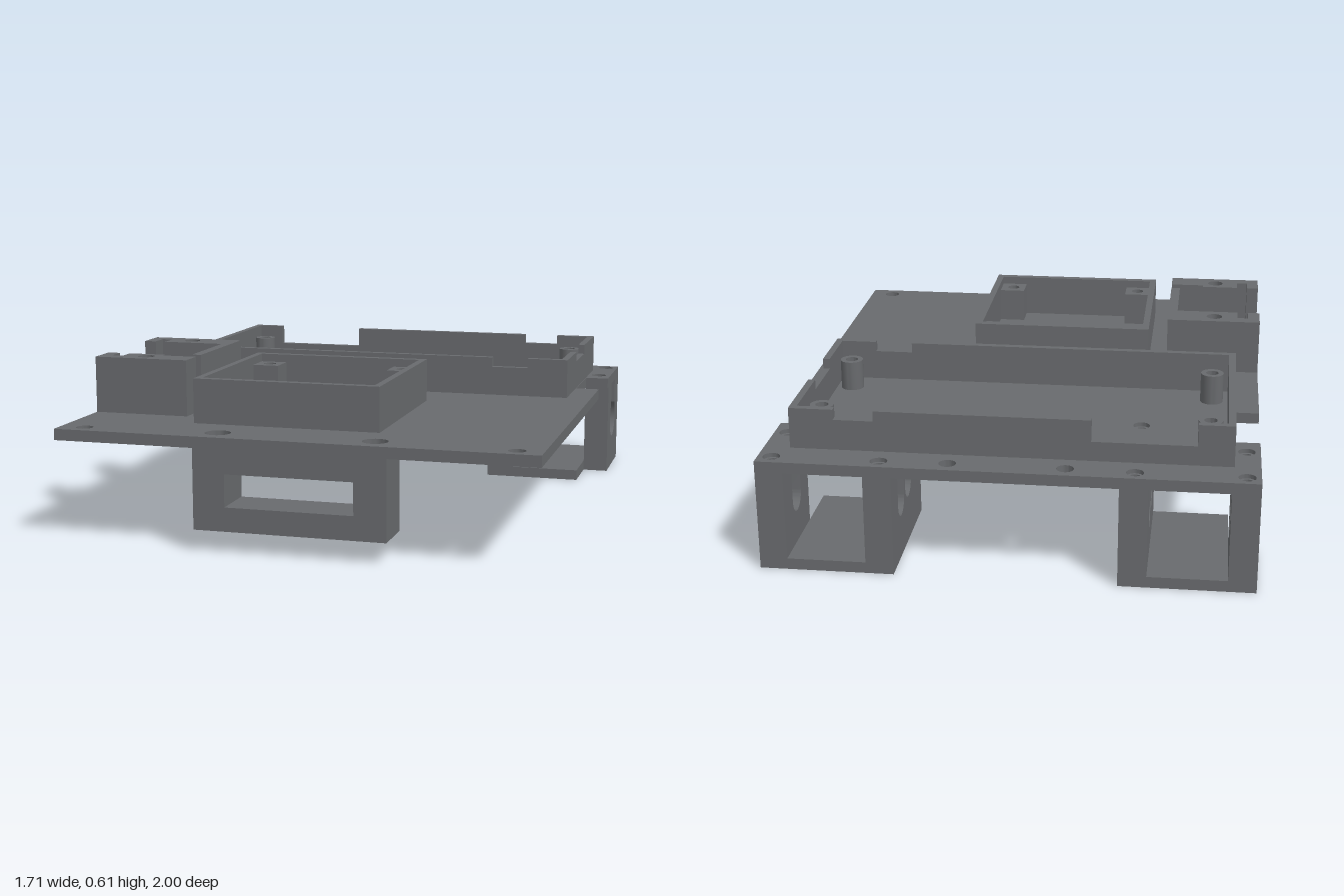
import * as THREE from 'three';
import { toCreasedNormals } from 'three/addons/utils/BufferGeometryUtils.js';

const material = new THREE.MeshStandardMaterial({ color: 0x686a6d });
const PLATE_LOW = 0.36, PLATE_TOP = 0.4;

export function createModel() {
  const root = new THREE.Group();
  root.name = 'mountingPlateAssembly';

  const add = (name, geometry) => {
    const mesh = new THREE.Mesh(geometry, material);
    mesh.name = name;
    root.add(mesh);
  };
  const polygon = (pts) => new THREE.Shape(pts.map(([a, b]) => new THREE.Vector2(a, b)));
  const rect = (x0, x1, z0, z1) => polygon([[x0, z0], [x1, z0], [x1, z1], [x0, z1]]);
  const extrude = (shape, depth) =>
    new THREE.ExtrudeGeometry(shape, { depth, bevelEnabled: false, curveSegments: 14 });
  const box = (name, x0, x1, y0, y1, z0, z1) =>
    add(name, new THREE.BoxGeometry(x1 - x0, y1 - y0, z1 - z0)
      .translate((x0 + x1) / 2, (y0 + y1) / 2, (z0 + z1) / 2));

  // Outline in x and z, with round holes [x, z, r], raised from y0 to y1
  const slab = (name, shape, holes, y0, y1) => {
    for (const [x, z, r] of holes) {
      shape.holes.push(new THREE.Path().absarc(x, z, r, 0, Math.PI * 2, true));
    }
    const g = extrude(shape, y1 - y0).rotateX(Math.PI / 2).translate(0, y1, 0);
    add(name, toCreasedNormals(g, 0.6));
  };
  // Profile in z and y, extruded from x0 to x1
  const sideWall = (name, shape, x0, x1) =>
    add(name, toCreasedNormals(extrude(shape, x1 - x0).rotateY(-Math.PI / 2).translate(x1, 0, 0), 0.6));
  // Profile in x and y, extruded from z0 to z1
  const crossWall = (name, shape, z0, z1) =>
    add(name, extrude(shape, z1 - z0).translate(0, 0, z0));
  // Ring with a bore, standing on y0
  const ring = (name, x, z, outer, inner, y0, y1) => {
    const shape = new THREE.Shape().absarc(x, z, outer, 0, Math.PI * 2, false);
    slab(name, shape, [[x, z, inner]], y0, y1);
  };
  // Wall profile with square notches [from, to, floor] in its top edge
  const notched = (a, b, y0, y1, notches = []) => {
    const pts = [[a, y0], [b, y0], [b, y1]];
    for (const [n0, n1, floor] of notches) pts.push([n1, y1], [n1, floor], [n0, floor], [n0, y1]);
    pts.push([a, y1]);
    return polygon(pts);
  };
  // Wall profile with U slots open at the top, optionally widened to a round seat R
  const slotted = (a, b, y1, slots) => {
    const s = new THREE.Shape().moveTo(a, 0).lineTo(b, 0).lineTo(b, y1);
    for (const [z, y, r, R] of slots) {
      const t = Math.acos(r / R);
      s.lineTo(z + r, y1);
      s.lineTo(z + r, y + R * Math.sin(t));
      s.absarc(z, y, R, t, -Math.PI - t, true);
      s.lineTo(z - r, y1);
    }
    s.lineTo(a, y1);
    return s;
  };

  // Base plate with side notches and screw holes
  const screws = [];
  for (const s of [-1, 1]) {
    screws.push([s * 0.807, -0.95], [s * 0.807, -0.73], [s * 0.435, -0.95], [s * 0.435, -0.525]);
  }
  const plateHoles = screws.map(([x, z]) => [x, z, 0.03]);
  for (const s of [-1, 1]) {
    plateHoles.push([s * 0.2, -0.943, 0.03], [s * 0.765, 0.943, 0.03], [s * 0.28, 0.915, 0.045]);
  }
  const half = [[0.855, -1], [0.855, -0.645], [0.765, -0.645], [0.765, -0.36], [0.855, -0.36], [0.855, 1]];
  const outline = [...half, ...half.map(([x, z]) => [-x, z]).reverse()];
  slab('basePlate', polygon(outline), plateHoles, PLATE_LOW, PLATE_TOP);
  screws.forEach(([x, z]) => ring('screwSeat', x, z, 0.03, 0.02, PLATE_LOW, 0.385));

  // Wide rear tray with notched walls
  const w = 0.025, trayTop = 0.547;
  crossWall('rearTrayBackWall', notched(-0.765, 0.763, PLATE_TOP, trayTop,
    [[0.468, 0.608, 0.51], [-0.64, -0.28, 0.47]]), -0.867, -0.867 + w);
  crossWall('rearTrayFrontWall', notched(-0.765, 0.763, PLATE_TOP, trayTop,
    [[0.468, 0.608, 0.51]]), -0.12 - w, -0.12);
  sideWall('rearTrayRightWall', notched(-0.842, -0.145, PLATE_TOP, trayTop,
    [[-0.58, -0.36, 0.51]]), 0.738, 0.763);
  sideWall('rearTrayLeftWall', notched(-0.842, -0.145, PLATE_TOP, trayTop), -0.765, -0.74);
  for (const x of [-0.68, 0.68]) {
    for (const z of [-0.725, -0.247]) ring('trayStandoff', x, z, 0.042, 0.023, PLATE_TOP, 0.51);
  }

  // Square tray with drilled corner posts
  const frame = rect(-0.427, 0.255, 0.083, 0.767);
  frame.holes.push(rect(-0.402, 0.23, 0.11, 0.738));
  slab('squareTrayWalls', frame, [], PLATE_TOP, 0.56);
  for (const x of [-0.352, 0.18]) {
    for (const z of [0.16, 0.688]) {
      slab('cornerPost', rect(x - 0.05, x + 0.05, z - 0.05, z + 0.05), [[x, z, 0.024]], PLATE_TOP, 0.53);
    }
  }

  // Side holder: U-shaped block with keyed slots and a cable notch
  const holeBack = [-0.68, 0.14, 0.03], holeFront = [-0.68, 0.59, 0.03];
  const backInner = [[-0.535, 0.2], [-0.77, 0.2], [-0.77, 0.13], [-0.81, 0.13], [-0.81, 0.2],
    [-0.855, 0.2], [-0.855, 0.08], [-0.5, 0.08]];
  const frontInner = [[-0.855, 0.65], [-0.855, 0.535], [-0.81, 0.535], [-0.81, 0.6],
    [-0.77, 0.6], [-0.77, 0.535]];
  slab('sideHolderBase', polygon([...backInner, [-0.5, 0.65], ...frontInner, [-0.535, 0.535]]),
    [holeBack, holeFront], PLATE_TOP, 0.45);
  slab('sideHolderBackBlock', polygon([...backInner, [-0.5, 0.505], [-0.535, 0.505]]),
    [holeBack], 0.45, 0.605);
  slab('sideHolderFrontBlock', polygon([...frontInner, [-0.63, 0.535], [-0.63, 0.555],
    [-0.5, 0.555], [-0.5, 0.65]]), [holeFront], 0.45, 0.605);

  // Front bracket below the plate: columns with blind holes, joined by two rails
  for (const s of [-1, 1]) {
    const column = () => rect(s * 0.285 - 0.057, s * 0.285 + 0.057, 0.83, 1);
    const bore = [[s * 0.28, 0.915, 0.025]];
    slab('frontBracketColumnFoot', column(), bore, 0.075, 0.18);
    slab('frontBracketColumnCore', column(), [], 0.18, 0.26);
    slab('frontBracketColumnHead', column(), bore, 0.26, PLATE_LOW);
  }
  box('frontBracketTopRail', -0.228, 0.228, 0.275, PLATE_LOW, 0.83, 1);
  box('frontBracketBottomRail', -0.228, 0.228, 0.075, 0.16, 0.83, 1);

  // Rear legs: slotted walls on a floor that reaches forward
  const slot = [-0.835, 0.205, 0.055, 0.055], seat = [-0.835, 0.205, 0.055, 0.08];
  const frontSlot = [-0.705, 0.22, 0.055, 0.055];
  for (const s of [-1, 1]) {
    const span = (a, b) => (s > 0 ? [a, b] : [-b, -a]);
    sideWall('legOuterWall', slotted(-1, -0.68, PLATE_LOW, [slot]), ...span(0.758, 0.805));
    sideWall('legOuterSeat', slotted(-1, -0.68, PLATE_LOW, [seat]), ...span(0.805, 0.855));
    sideWall('legInnerWall', slotted(-1, -0.47, PLATE_LOW, [frontSlot, slot]), ...span(0.385, 0.483));
    box('legFloor', ...span(0.483, 0.758), 0, 0.04, -1, -0.47);
  }

  return root;
}
